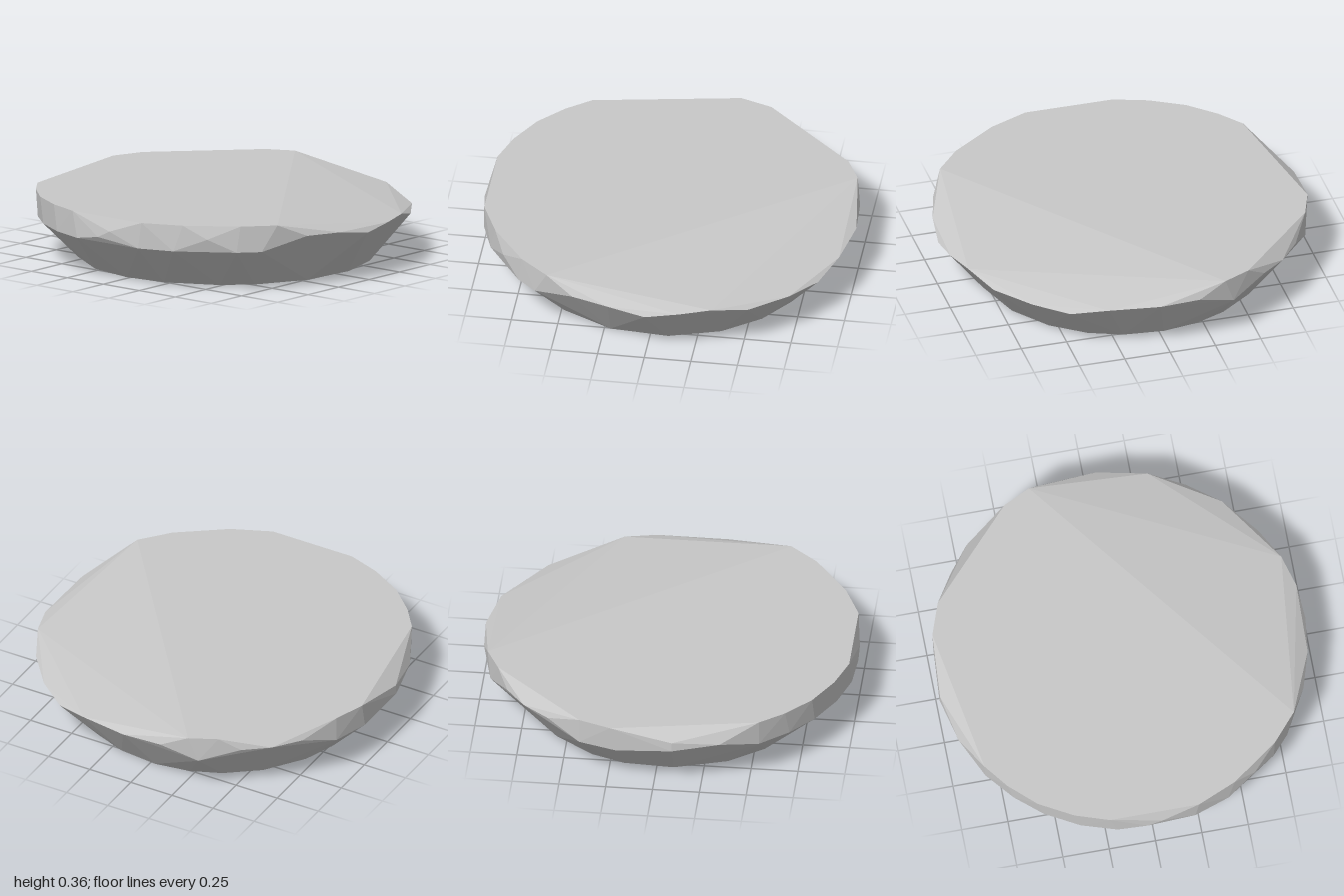
import * as THREE from 'three';
import { ConvexGeometry } from 'three/addons/geometries/ConvexGeometry.js';

export function createModel() {
  const group = new THREE.Group();
  group.name = 'flatStone';
  const stone = new THREE.MeshStandardMaterial({ color: 0xc8c8c8 });
  stone.name = 'stone grey';

  const points = [];
  const add = (x, y, z) => points.push(new THREE.Vector3(x, y, z));

  // Flat foot: corners at uneven angles, in degrees from the front
  const foot = [
    7, 28, 46, 62, 76, 92, 106, 119, 135, 153.5,
    167, 186.5, 208, 225, 249, 268.5, 286, 308, 322, 344,
  ];
  foot.forEach((degrees) => {
    const a = THREE.MathUtils.degToRad(degrees);
    add(Math.sin(a) * 0.785, 0, Math.cos(a) * 0.785);
  });

  // Widest rim: [x, y, z], chipped to uneven heights
  const rim = [
    [0, 0.255, 0.995], [0.18, 0.28, 0.98], [0.35, 0.29, 0.93], [0.53, 0.25, 0.84],
    [0.73, 0.25, 0.68], [0.86, 0.24, 0.51], [0.945, 0.28, 0.32], [0.998, 0.29, 0.05],
    [0.985, 0.29, -0.17], [0.93, 0.22, -0.37], [0.82, 0.29, -0.57], [0.72, 0.29, -0.7],
    [0.58, 0.29, -0.81], [0.4, 0.22, -0.915], [0.2, 0.22, -0.975], [-0.1, 0.25, -0.998],
    [-0.1, 0.3, -0.995], [-0.35, 0.27, -0.94], [-0.55, 0.22, -0.835], [-0.7, 0.22, -0.71],
    [-0.82, 0.22, -0.57], [-0.92, 0.22, -0.39], [-0.98, 0.22, -0.2], [-0.998, 0.25, -0.04],
    [-0.998, 0.29, 0.04], [-0.975, 0.22, 0.22], [-0.91, 0.22, 0.41], [-0.82, 0.29, 0.57],
    [-0.72, 0.22, 0.69], [-0.62, 0.22, 0.78], [-0.4, 0.29, 0.91], [-0.2, 0.285, 0.97],
  ];
  rim.forEach((p) => add(...p));

  // Outline of the level top face: [x, z]
  const top = [
    [-0.55, 0.83], [-0.7, 0.7], [-0.88, 0.45], [-0.97, 0.24], [-0.97, -0.24],
    [-0.91, -0.42], [-0.81, -0.6], [-0.68, -0.74], [-0.55, -0.84],
    [0.23, -0.975], [0.4, -0.915], [0.88, -0.465], [0.95, -0.32],
  ];
  top.forEach(([x, z]) => add(x, 0.36, z));

  const body = new THREE.Mesh(new ConvexGeometry(points), stone);
  body.name = 'stoneBody';
  group.add(body);
  return group;
}
